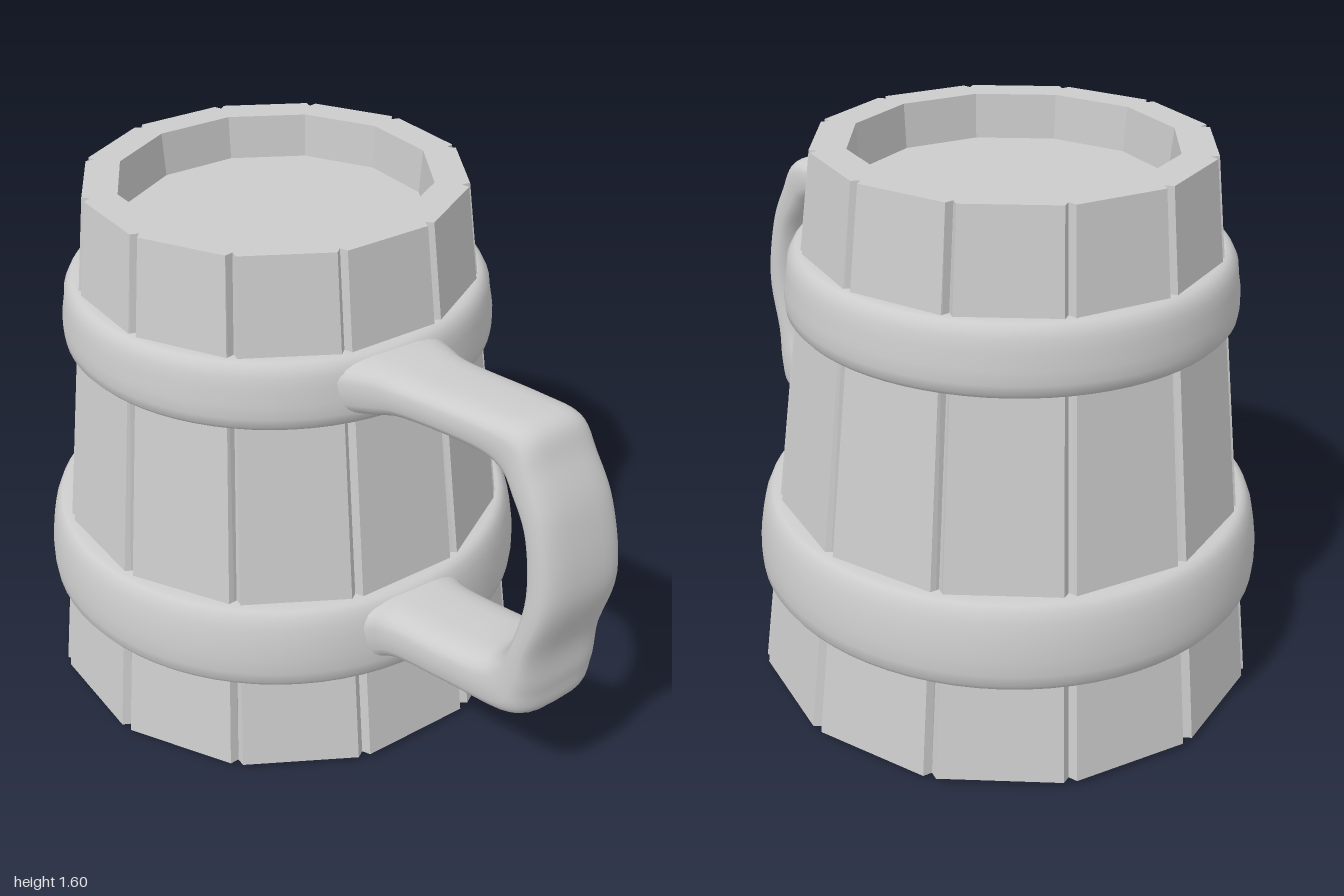
import * as THREE from 'three';
import { toCreasedNormals } from 'three/addons/utils/BufferGeometryUtils.js';

const SIDES = 12;
const CENTER_X = -0.262;

function buildGeometry(positions, index) {
  const geo = new THREE.BufferGeometry();
  geo.setAttribute('position', new THREE.Float32BufferAttribute(positions, 3));
  geo.setIndex(index);
  geo.computeVertexNormals();
  return geo;
}

// Twelve-sided staved body: rings of corners, each corner cut by a groove
function bodyGeometry() {
  // [radius, height, groove depth], from underside centre round to the inner floor
  const rings = [
    [0, 0.11, 0], [0.635, 0.11, 0], [0.645, 0, 0],
    [0.705, 0, 0.015], [0.745, 0.016, 0.025], [0.557, 1.6, 0.025],
    [0.455, 1.6, 0], [0.445, 1.47, 0], [0, 1.47, 0],
  ];
  const n = SIDES * 3;
  const positions = [], index = [];
  const corner = (r, k) => {
    const a = (k / SIDES) * Math.PI * 2;
    return new THREE.Vector3(r * Math.cos(a), 0, r * Math.sin(a));
  };
  rings.forEach(([r, y, depth], i) => {
    for (let k = 0; k < SIDES; k++) {
      const c = corner(r, k);
      const before = c.clone().lerp(corner(r, k - 1), 0.05);
      const after = c.clone().lerp(corner(r, k + 1), 0.05);
      for (const p of [before, corner(r - depth, k), after]) positions.push(p.x, y, p.z);
    }
    if (i === rings.length - 1) return;
    for (let j = 0; j < n; j++) {
      const a = i * n + j, b = i * n + (j + 1) % n;
      const d = a + n, c = b + n;
      if (rings[i + 1][0] > 0) index.push(a, d, c);
      if (r > 0) index.push(a, c, b);
    }
  });
  return buildGeometry(positions, index);
}

// Rounded band that narrows upwards and runs into the staves
function hoopGeometry(y0, y1, r0, r1, inner) {
  const h = y1 - y0;
  const profile = [
    [inner, y0], [r0 - 0.015, y0], [r0 - 0.003, y0 + 0.07 * h], [r0, y0 + 0.2 * h],
    [r0 - 0.001, y0 + 0.4 * h], [r0 - 0.009, y0 + 0.62 * h], [r1 + 0.012, y0 + 0.8 * h],
    [r1, y1 - 0.08 * h], [r1 - 0.012, y1 - 0.02 * h], [r1 - 0.025, y1], [inner, y1],
  ].map(([r, y]) => new THREE.Vector2(r, y));
  return toCreasedNormals(new THREE.LatheGeometry(profile, 72), 0.75);
}

// Handle lofted between an inner and an outer edge line
function handleGeometry() {
  // [inner x, inner y, outer x, outer y, z min, z max]
  const stations = [
    [0.24, 1.13, 0.24, 1.315, -0.03, 0.38],
    [0.36, 1.148, 0.36, 1.305, 0.02, 0.32],
    [0.45, 1.165, 0.45, 1.29, 0.04, 0.295],
    [0.66, 1.16, 0.68, 1.285, 0.045, 0.285],
    [0.74, 1.13, 0.81, 1.27, 0.045, 0.285],
    [0.79, 1.08, 0.865, 1.18, 0.045, 0.295],
    [0.845, 0.98, 0.93, 1.04, 0.045, 0.305],
    [0.865, 0.82, 0.97, 0.82, 0.045, 0.315],
    [0.845, 0.67, 0.925, 0.62, 0.045, 0.325],
    [0.8, 0.59, 0.92, 0.49, 0.04, 0.33],
    [0.73, 0.56, 0.885, 0.395, 0.04, 0.335],
    [0.62, 0.55, 0.66, 0.385, 0.04, 0.335],
    [0.47, 0.55, 0.47, 0.375, 0.035, 0.335],
    [0.4, 0.56, 0.4, 0.345, 0.01, 0.37],
    [0.3, 0.568, 0.3, 0.325, -0.02, 0.4],
  ];
  const curve = (f) => new THREE.CatmullRomCurve3(stations.map(f), false, 'catmullrom', 0.5);
  const innerEdge = curve((s) => new THREE.Vector3(s[0], s[1], s[4]));
  const outerEdge = curve((s) => new THREE.Vector3(s[2], s[3], s[5]));
  const steps = 84, n = 28;
  const positions = [], index = [];
  const round = (v) => Math.sign(v) * Math.pow(Math.abs(v), 0.65);
  for (let i = 0; i <= steps; i++) {
    const p = innerEdge.getPoint(i / steps), q = outerEdge.getPoint(i / steps);
    for (let j = 0; j < n; j++) {
      const a = (j / n) * Math.PI * 2;
      const u = (1 + round(Math.cos(a))) / 2, v = (1 + round(Math.sin(a))) / 2;
      const z = p.z + (q.z - p.z) * v;
      // the grip is slightly skewed across its width
      positions.push(p.x + (q.x - p.x) * u - 0.24 * (z - 0.18), p.y + (q.y - p.y) * u, z);
      if (i === steps) continue;
      const k = i * n + j, l = i * n + (j + 1) % n;
      index.push(k, l, l + n, k, l + n, k + n);
    }
  }
  return buildGeometry(positions, index);
}

export function createModel() {
  const group = new THREE.Group();
  group.name = 'tankard';
  const smooth = new THREE.MeshStandardMaterial({ color: 0xcccccc });
  const flat = new THREE.MeshStandardMaterial({ color: 0xcccccc, flatShading: true });
  const add = (name, geometry, material, x = 0) => {
    const mesh = new THREE.Mesh(geometry, material);
    mesh.name = name;
    mesh.position.x = x;
    group.add(mesh);
  };
  add('stavedBody', bodyGeometry(), flat, CENTER_X);
  add('upperHoop', hoopGeometry(1.125, 1.32, 0.635, 0.61, 0.54), smooth, CENTER_X);
  add('lowerHoop', hoopGeometry(0.322, 0.57, 0.737, 0.707, 0.62), smooth, CENTER_X);
  add('handle', handleGeometry(), smooth);
  return group;
}
